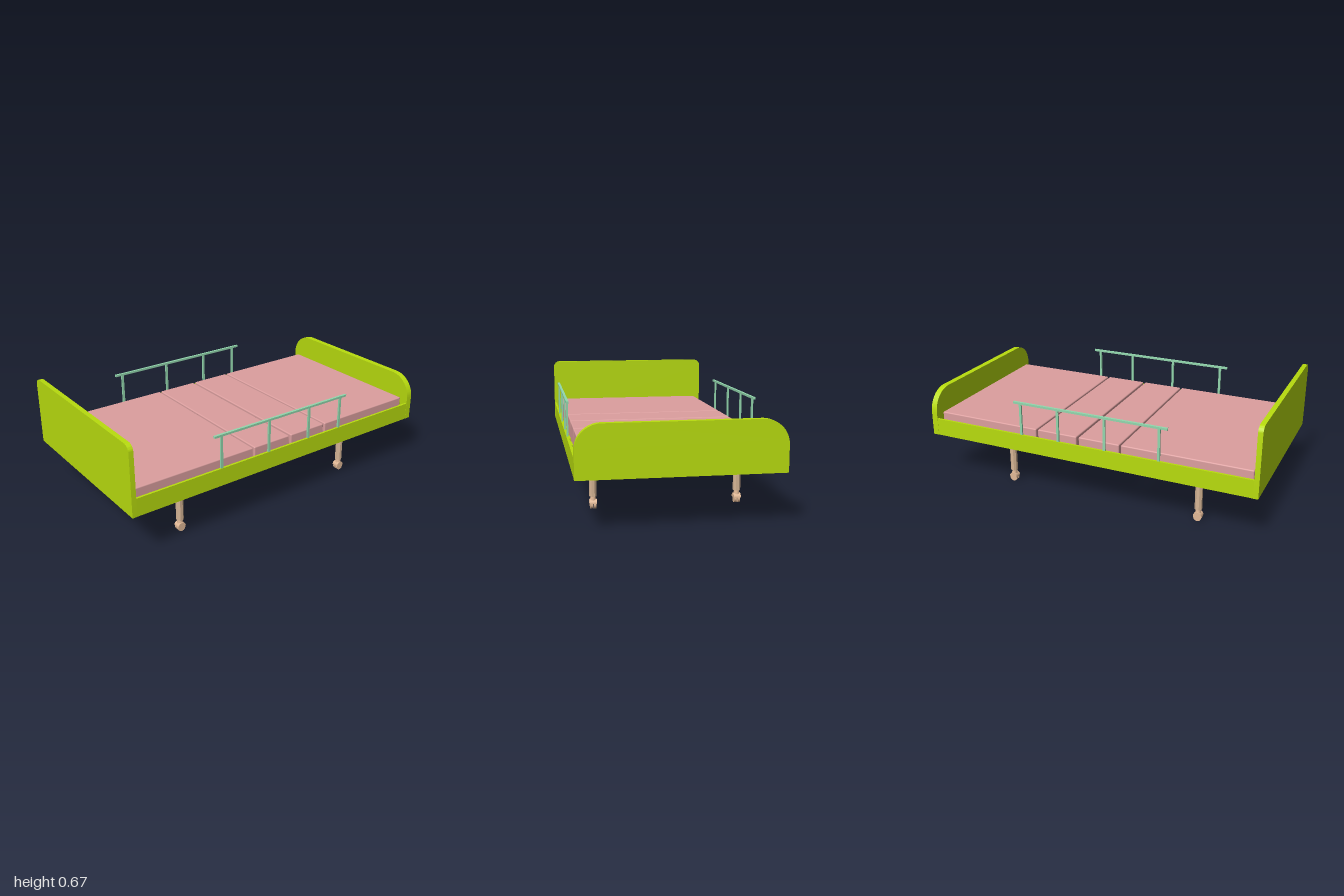
import * as THREE from 'three';
import { toCreasedNormals } from 'three/addons/utils/BufferGeometryUtils.js';
import { RoundedBoxGeometry } from 'three/addons/geometries/RoundedBoxGeometry.js';

const material = (color) => new THREE.MeshStandardMaterial({ color });

export function createModel() {
  const bed = new THREE.Group();
  const lime = material(0xb8dc0e);
  const pink = material(0xdc9f9f);
  const mint = material(0x93d8ae);
  const tan = material(0xd6b595);
  const peach = material(0xe2b997);

  const add = (name, geometry, mat, parent = bed) => {
    const mesh = new THREE.Mesh(geometry, mat);
    mesh.name = name;
    parent.add(mesh);
    return mesh;
  };
  // Box given by its limits along each axis
  const box = (name, mat, [x0, x1], [y0, y1], [z0, z1], parent = bed) => {
    const mesh = add(name, new THREE.BoxGeometry(x1 - x0, y1 - y0, z1 - z0), mat, parent);
    mesh.position.set((x0 + x1) / 2, (y0 + y1) / 2, (z0 + z1) / 2);
    return mesh;
  };

  // End boards: outline with rounded top corners, extruded along x
  const halfWidth = 0.532, bottom = 0.272;
  const endBoard = (name, x0, x1, top, rx, ry) => {
    const s = new THREE.Shape();
    s.moveTo(-halfWidth, bottom);
    s.lineTo(halfWidth, bottom);
    s.lineTo(halfWidth, top - ry);
    s.absellipse(halfWidth - rx, top - ry, rx, ry, 0, Math.PI / 2, false);
    s.lineTo(-halfWidth + rx, top);
    s.absellipse(-halfWidth + rx, top - ry, rx, ry, Math.PI / 2, Math.PI, false);
    s.closePath();
    const g = new THREE.ExtrudeGeometry(s, { depth: x1 - x0, bevelEnabled: false, curveSegments: 16 });
    g.rotateY(Math.PI / 2);
    g.translate(x0, 0, 0);
    add(name, toCreasedNormals(g, 0.6), lime);
  };
  endBoard('headboard', -1, -0.973, 0.672, 0.04, 0.04);
  endBoard('footboard', 0.964, 1, 0.546, 0.135, 0.132);

  // Slats carrying the mattress
  for (const x of [-0.95, -0.78, -0.595, -0.39, -0.205, -0.03, 0.17, 0.33, 0.51, 0.69, 0.835]) {
    box('slat', lime, [x, x + 0.1], [0.284, 0.304], [-0.522, 0.522]);
  }

  // Mattress in four sections
  for (const [x0, x1] of [[-0.96, -0.215], [-0.205, 0.042], [0.056, 0.302], [0.313, 0.954]]) {
    const section = add('mattressSection', new RoundedBoxGeometry(x1 - x0, 0.128, 0.974, 2, 0.007), pink);
    section.position.set((x0 + x1) / 2, 0.342, 0);
  }

  for (const side of [1, -1]) {
    // Long frame side
    const span = (a, b) => (side > 0 ? [a, b] : [-b, -a]);
    box('sideFrame', lime, [-0.98, 0.97], [bottom, 0.375], span(0.518, 0.531));

    // Guard rail: top bar on four posts
    const guard = new THREE.Group();
    guard.name = 'guardRail';
    bed.add(guard);
    box('railBar', mint, [-0.5, 0.428], [0.562, 0.574], span(0.517, 0.531), guard);
    for (const x of [-0.453, -0.135, 0.15, 0.385]) {
      box('railPost', mint, [x - 0.007, x + 0.007], [0.372, 0.564], span(0.519, 0.529), guard);
    }

    // Legs with twin-wheel casters
    for (const x of [-0.645, 0.527]) {
      const leg = new THREE.Group();
      leg.name = 'leg';
      leg.position.set(x, 0, side * 0.401);
      bed.add(leg);

      const post = new THREE.CylinderGeometry(0.0212, 0.0212, 0.215, 8).toNonIndexed();
      post.rotateY(Math.PI / 8);
      post.computeVertexNormals();
      add('legPost', post, tan, leg).position.y = 0.1775;

      add('casterStem', new THREE.CylinderGeometry(0.013, 0.017, 0.03, 12), peach, leg).position.y = 0.06;

      // Half-round hood over the wheels
      const hood = new THREE.CylinderGeometry(0.024, 0.024, 0.04, 20, 1, false, 0, Math.PI);
      hood.rotateZ(Math.PI / 2);
      hood.rotateY(Math.PI / 2);
      const cover = add('casterHood', hood, peach, leg);
      cover.material = peach.clone();
      cover.material.side = THREE.DoubleSide;
      cover.position.y = 0.03;

      for (const z of [-0.01, 0.01]) {
        const wheel = new THREE.CylinderGeometry(0.0225, 0.0225, 0.013, 20);
        wheel.rotateX(Math.PI / 2);
        add('casterWheel', wheel, peach, leg).position.set(0, 0.0225, z);
      }
    }
  }
  return bed;
}
